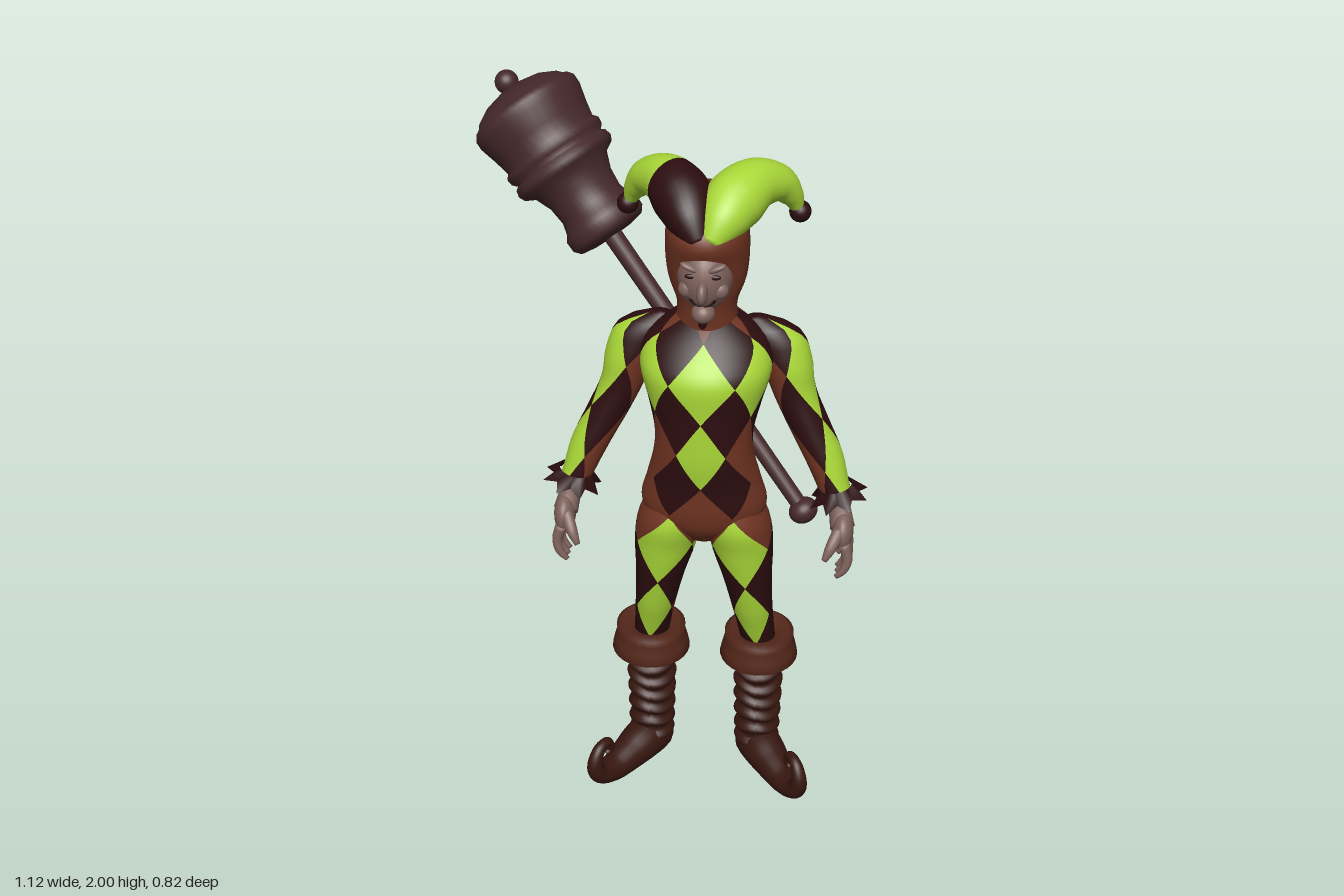
import * as THREE from 'three';

const mat = (name, color) => {
  const m = new THREE.MeshStandardMaterial({ color, side: THREE.DoubleSide });
  m.name = name;
  return m;
};

export function createModel() {
  const GREEN = 0, RUST = 1, DARK = 2, SKIN = 3, WOOD = 4, BOOT = 5, CUFF = 6;
  const mats = [
    mat('limeCloth', 0xaad838), mat('rustCloth', 0x703422), mat('darkCloth', 0x2c0d0f), mat('skin', 0x80635c),
    mat('maceWood', 0x45282a), mat('bootLeather', 0x37170f), mat('cuffLeather', 0x54271a),
  ];
  const model = new THREE.Group();
  model.name = 'jester';
  const body = new THREE.Group();
  body.name = 'body';
  body.position.x = 0.11;
  model.add(body);

  const add = (name, geo, m, parent = body) => {
    const mesh = new THREE.Mesh(geo, typeof m === 'number' ? mats[m] : mats);
    mesh.name = name;
    parent.add(mesh);
    return mesh;
  };
  const ball = (name, m, p, r, parent = body) => {
    const mesh = add(name, new THREE.SphereGeometry(1, 24, 16), m, parent);
    mesh.position.set(...p);
    mesh.scale.set(...(r.length ? r : [r, r, r]));
    return mesh;
  };

  // Skin a stack of rings; colour(u, row) picks the material, diagonals follow colour borders
  const skin = (name, rings, colour) => {
    const n = rings[0].length, pos = [], faces = mats.map(() => []);
    rings.forEach(r => r.forEach(p => pos.push(p.x, p.y, p.z)));
    for (let j = 0; j < rings.length - 1; j++) for (let i = 0; i < n; i++) {
      const k = (i + 1) % n, bl = j * n + i, br = j * n + k, tl = bl + n, tr = br + n;
      const c = (x, y) => colour((i + x) / n, j + y);
      const L = c(0.2, 0.5), R = c(0.8, 0.5), B = c(0.5, 0.2), T = c(0.5, 0.8);
      if (B === R && T === L) { faces[B].push(bl, br, tr); faces[T].push(bl, tr, tl); }
      else { faces[B].push(bl, br, tl); faces[T].push(br, tr, tl); }
    }
    const geo = new THREE.BufferGeometry();
    geo.setAttribute('position', new THREE.Float32BufferAttribute(pos, 3));
    geo.setIndex(faces.flat());
    let start = 0;
    faces.forEach((f, m) => { if (f.length) geo.addGroup(start, f.length, m); start += f.length; });
    geo.computeVertexNormals();
    return add(name, geo, mats);
  };
  // Smooth interpolation between rows of numbers
  const blend = (keys, f) => {
    const last = keys.length - 1, i = Math.min(Math.floor(f), last - 1), t = f - i;
    const at = k => keys[Math.max(0, Math.min(last, k))];
    return keys[0].map((_, c) => {
      const [a, b, d, e] = [at(i - 1)[c], at(i)[c], at(i + 1)[c], at(i + 2)[c]];
      return b + 0.5 * t * (d - a + t * (2 * a - 5 * b + 4 * d - e + t * (3 * (b - d) + e - a)));
    });
  };
  const closed = rings => {
    const cap = r => {
      const c = r.reduce((s, p) => s.add(p), new THREE.Vector3()).divideScalar(r.length);
      return r.map(() => c.clone());
    };
    return [cap(rings[0]), ...rings, cap(rings[rings.length - 1])];
  };
  // Upright form from keys [y, x, z, halfWidth, halfDepth]
  const loft = (name, keys, y0, step, rows, n, s, colour) => {
    const rings = [];
    for (let j = 0; j <= rows; j++) {
      const y = y0 + j * step;
      let k = 0;
      while (k < keys.length - 2 && keys[k + 1][0] < y) k++;
      const t = Math.max(0, Math.min(1, (y - keys[k][0]) / (keys[k + 1][0] - keys[k][0])));
      const [, x, z, w, d] = blend(keys, k + t);
      rings.push(Array.from({ length: n }, (_, i) => {
        const a = i / n * Math.PI * 2;
        return new THREE.Vector3(x * s + w * Math.sin(a), y, z + d * Math.cos(a));
      }));
    }
    return skin(name, closed(rings), (u, r) => colour((u > 0.5 ? u - 1 : u) * s, y0 + (r - 1) * step));
  };
  // Tapered tube from keys [x, y, z, radius], kept above the floor
  const taper = (name, keys, rows, n, s, colour) => {
    const rings = [], N = new THREE.Vector3(0.31, 0.2, 0.9);
    const at = f => { const [x, y, z, r] = blend(keys, f); return [new THREE.Vector3(x * s, y, z), r]; };
    for (let j = 0; j <= rows; j++) {
      const f = j / rows * (keys.length - 1);
      const [p, r] = at(f);
      const T = at(Math.min(f + 0.01, keys.length - 1))[0].sub(at(Math.max(f - 0.01, 0))[0]).normalize();
      N.addScaledVector(T, -N.dot(T)).normalize();
      const B = T.clone().cross(N);
      rings.push(Array.from({ length: n }, (_, i) => {
        const a = i / n * Math.PI * 2;
        const q = p.clone().addScaledVector(N, r * Math.cos(a)).addScaledVector(B, r * Math.sin(a));
        q.y = Math.max(q.y, 0);
        return q;
      }));
    }
    return skin(name, closed(rings), (u, r) => typeof colour === 'number' ? colour : colour((r - 1) / rows));
  };
  // Centre of the diamond that holds a point
  const diamond = (a, v) => {
    const i = Math.round((a + v) / 2), j = Math.round((a - v) / 2);
    return [i + j, i - j];
  };

  // Torso with harlequin diamonds
  loft('torso', [
    [0.86, 0, 0.24, 0.05, 0.05], [0.92, 0, 0.235, 0.145, 0.095], [0.98, 0, 0.24, 0.172, 0.105],
    [1.06, 0, 0.25, 0.155, 0.1], [1.15, 0, 0.265, 0.135, 0.098], [1.22, 0, 0.265, 0.132, 0.1],
    [1.3, 0, 0.245, 0.15, 0.12], [1.4, 0, 0.225, 0.175, 0.14], [1.47, 0, 0.205, 0.16, 0.115],
    [1.52, 0, 0.205, 0.11, 0.085], [1.56, 0, 0.21, 0.065, 0.065], [1.62, 0, 0.215, 0.06, 0.065],
  ], 0.865, 0.0175, 42, 72, 1, (u, y) => {
    const [a, v] = diamond(u * 12, (y - 1.39) / 0.105), c = Math.abs(a);
    if (v === 1 || v === -1) return DARK;
    if (v === 0) return c === 6 ? DARK : GREEN;
    if (v === -2) return c === 2 ? RUST : GREEN;
    return v === -3 && c !== 3 ? DARK : RUST;
  });

  // Hood
  loft('hood', [
    [1.5, 0, 0.21, 0.085, 0.075], [1.58, 0, 0.215, 0.078, 0.078], [1.65, 0, 0.215, 0.1, 0.088],
    [1.72, 0, 0.22, 0.108, 0.1], [1.79, 0, 0.225, 0.107, 0.116], [1.84, 0, 0.205, 0.1, 0.095], [1.89, 0, 0.19, 0.04, 0.04],
  ], 1.5, 0.0195, 20, 40, 1, () => RUST);

  // Face
  ball('face', SKIN, [0, 1.685, 0.265], [0.073, 0.1, 0.09]);
  ball('chin', SKIN, [0, 1.598, 0.322], [0.03, 0.028, 0.032]);
  ball('nose', SKIN, [0, 1.672, 0.358], [0.015, 0.03, 0.026]).rotation.x = -0.4;
  ball('beard', DARK, [0, 1.578, 0.335], [0.012, 0.02, 0.012]);
  const mouth = add('mouth', new THREE.TorusGeometry(0.034, 0.004, 6, 20, Math.PI * 0.8), DARK);
  mouth.position.set(0, 1.657, 0.342);
  mouth.rotation.set(0.25, 0, Math.PI * 1.1);
  for (const s of [-1, 1]) {
    ball('cheek', SKIN, [s * 0.04, 1.665, 0.322], [0.024, 0.024, 0.02]);
    ball('eye', DARK, [s * 0.03, 1.71, 0.341], [0.016, 0.007, 0.006]);
    ball('brow', SKIN, [s * 0.032, 1.732, 0.335], [0.028, 0.009, 0.014]).rotation.z = s * 0.4;
  }

  const legKeys = [
    [0.43, 0.157, 0.17, 0.05, 0.05], [0.5, 0.15, 0.188, 0.052, 0.052], [0.6, 0.138, 0.212, 0.058, 0.06],
    [0.72, 0.122, 0.225, 0.07, 0.073], [0.84, 0.105, 0.232, 0.088, 0.085], [0.92, 0.092, 0.235, 0.09, 0.098], [1.0, 0.08, 0.235, 0.07, 0.08],
  ];
  const armKeys = [
    [0.97, 0.37, 0.225, 0.04, 0.042], [1.04, 0.345, 0.21, 0.046, 0.048], [1.12, 0.315, 0.195, 0.055, 0.055],
    [1.2, 0.275, 0.18, 0.058, 0.06], [1.3, 0.23, 0.165, 0.06, 0.065], [1.38, 0.21, 0.16, 0.068, 0.07],
    [1.44, 0.185, 0.155, 0.075, 0.065], [1.48, 0.16, 0.16, 0.07, 0.05], [1.51, 0.13, 0.165, 0.03, 0.02],
  ];
  const V = (r, y) => new THREE.Vector2(r, y);

  for (const s of [-1, 1]) {
    const side = s > 0 ? 'left' : 'right';

    // Curled hat horn and bell
    taper(side + 'HatHorn', [
      [0.012, 1.785, 0.315, 0.028], [0.04, 1.83, 0.265, 0.062], [0.065, 1.858, 0.205, 0.078], [0.11, 1.878, 0.145, 0.068],
      [0.165, 1.865, 0.1, 0.05], [0.2, 1.825, 0.078, 0.033], [0.217, 1.785, 0.068, 0.018],
    ], 36, 28, s, t => s < 0 && t < 0.47 ? DARK : GREEN);
    ball(side + 'Bell', DARK, [s * 0.225, 1.77, 0.063], 0.029);

    // Sleeve
    loft(side + 'Arm', armKeys, 1.37 - 16 * 0.14 / 6, 0.14 / 6, 22, 36, s, (u, y) => {
      const [a, v] = diamond(u * 6 - 1, (y - 1.37) / 0.14);
      if (v % 2) return DARK;
      return v > 0 || (a + 12) % 6 === 4 ? RUST : GREEN;
    });

    // Pointed wrist cuff
    const cuffGeo = new THREE.CylinderGeometry(0.046, 0.085, 0.045, 16, 1, true);
    const p = cuffGeo.attributes.position;
    for (let i = 17; i < 34; i++) if (i % 2) p.setXYZ(i, p.getX(i) * 0.66, p.getY(i) + 0.012, p.getZ(i) * 0.66);
    cuffGeo.computeVertexNormals();
    const cuff = add(side + 'WristCuff', cuffGeo, DARK);
    cuff.position.set(s * 0.362, 1.012, 0.222);
    cuff.rotation.z = s * 0.25;

    // Hand
    taper(side + 'Wrist', [[0.355, 1.02, 0.22, 0.03], [0.37, 0.97, 0.235, 0.03], [0.382, 0.92, 0.26, 0.034]], 8, 14, s, SKIN);
    ball(side + 'Palm', SKIN, [s * 0.383, 0.915, 0.265], [0.03, 0.055, 0.055]);
    for (let f = 0; f < 4; f++) {
      const z = 0.225 + f * 0.027, drop = f === 0 ? 0.025 : 0;
      taper(side + 'Finger', [
        [0.388, 0.895, z, 0.016], [0.4, 0.855, z + 0.004, 0.0145],
        [0.393, 0.82 + drop, z + 0.01, 0.012], [0.372, 0.795 + drop, z + 0.012, 0.007],
      ], 10, 10, s, SKIN);
    }
    taper(side + 'Thumb', [[0.375, 0.935, 0.295, 0.018], [0.355, 0.9, 0.33, 0.016], [0.338, 0.865, 0.345, 0.008]], 8, 10, s, SKIN);

    // Legging
    loft(side + 'Leg', legKeys, 0.84 - 19 * 0.125 / 6, 0.125 / 6, 26, 36, s, (u, y) => {
      const [a, v] = diamond(u * 6, (y - 0.84) / 0.125);
      if (v > 0) return RUST;
      if (v % 2) return Math.abs(a) === 3 ? RUST : DARK;
      return a === 0 || (a === -2 && v === 0) ? GREEN : a === 2 ? DARK : RUST;
    });

    // Folded boot top
    const top = add(side + 'BootCuff', new THREE.LatheGeometry([
      V(0.06, 0.4), V(0.1, 0.388), V(0.113, 0.395), V(0.107, 0.425), V(0.099, 0.455), V(0.1, 0.475), V(0.085, 0.485), V(0.045, 0.468),
    ], 28), CUFF);
    top.position.set(s * 0.158, 0, 0.168);

    // Slouched boot shaft
    const profile = [V(0.001, 0.03), V(0.055, 0.035)];
    for (let i = 0; i <= 48; i++) {
      const y = 0.06 + i * 0.0073;
      profile.push(V(0.057 + 0.012 * (y / 0.4) + 0.008 * Math.sin(i * 0.87), y));
    }
    const shaft = add(side + 'BootShaft', new THREE.LatheGeometry(profile, 28), BOOT);
    const q = shaft.geometry.attributes.position;
    for (let i = 0; i < q.count; i++) {
      const y = q.getY(i), w = y > 0.1 && y < 0.38 ? 0.007 : 0;
      q.setY(i, y + w * Math.sin(2 * Math.atan2(q.getX(i), q.getZ(i)) + y * 14));
    }
    shaft.geometry.computeVertexNormals();
    shaft.position.set(s * 0.158, 0, 0.158);

    // Shoe with curled toe, turned outward
    const dx = 0.52, dz = 0.85;
    taper(side + 'Shoe', [
      [-0.055, 0.045, 0.03], [-0.02, 0.046, 0.06], [0.05, 0.046, 0.062], [0.12, 0.038, 0.052], [0.19, 0.034, 0.041],
      [0.25, 0.055, 0.031], [0.272, 0.1, 0.023], [0.252, 0.144, 0.018], [0.215, 0.15, 0.015], [0.203, 0.122, 0.014], [0.218, 0.108, 0.01],
    ].map(([f, y, r]) => [0.158 + f * dx, y, 0.155 + f * dz, r]), 60, 20, s, BOOT);
    ball(side + 'Heel', BOOT, [s * 0.15, 0.04, 0.148], [0.055, 0.04, 0.055]);
  }

  // Great mace slung behind the back
  const mace = new THREE.Group();
  mace.name = 'mace';
  const foot = new THREE.Vector3(0.38, 0.9, 0.16);
  const axis = new THREE.Vector3(-0.51, 1.965, -0.295).sub(foot).normalize();
  mace.position.copy(foot);
  mace.quaternion.setFromUnitVectors(new THREE.Vector3(0, 1, 0), axis);
  model.add(mace);
  const handle = add('maceHandle', new THREE.CylinderGeometry(0.027, 0.022, 0.95, 20), WOOD, mace);
  handle.position.y = 0.475;
  ball('macePommel', WOOD, [0, 0, 0], [0.042, 0.036, 0.042], mace);
  add('maceHead', new THREE.LatheGeometry([
    [0, 0.925], [0.06, 0.925], [0.1, 0.932], [0.115, 0.95], [0.116, 0.98], [0.103, 1.0], [0.095, 1.03], [0.1, 1.08],
    [0.118, 1.125], [0.145, 1.14], [0.153, 1.157], [0.148, 1.175], [0.138, 1.182], [0.15, 1.195], [0.152, 1.213],
    [0.141, 1.226], [0.15, 1.27], [0.163, 1.32], [0.163, 1.345], [0.152, 1.36], [0.142, 1.364], [0.13, 1.378],
    [0.09, 1.4], [0.04, 1.412], [0, 1.415],
  ].map(([r, y]) => V(r, y)), 40), WOOD, mace);
  ball('maceKnob', WOOD, [0, 1.433, 0], 0.033, mace);

  return model;
}
